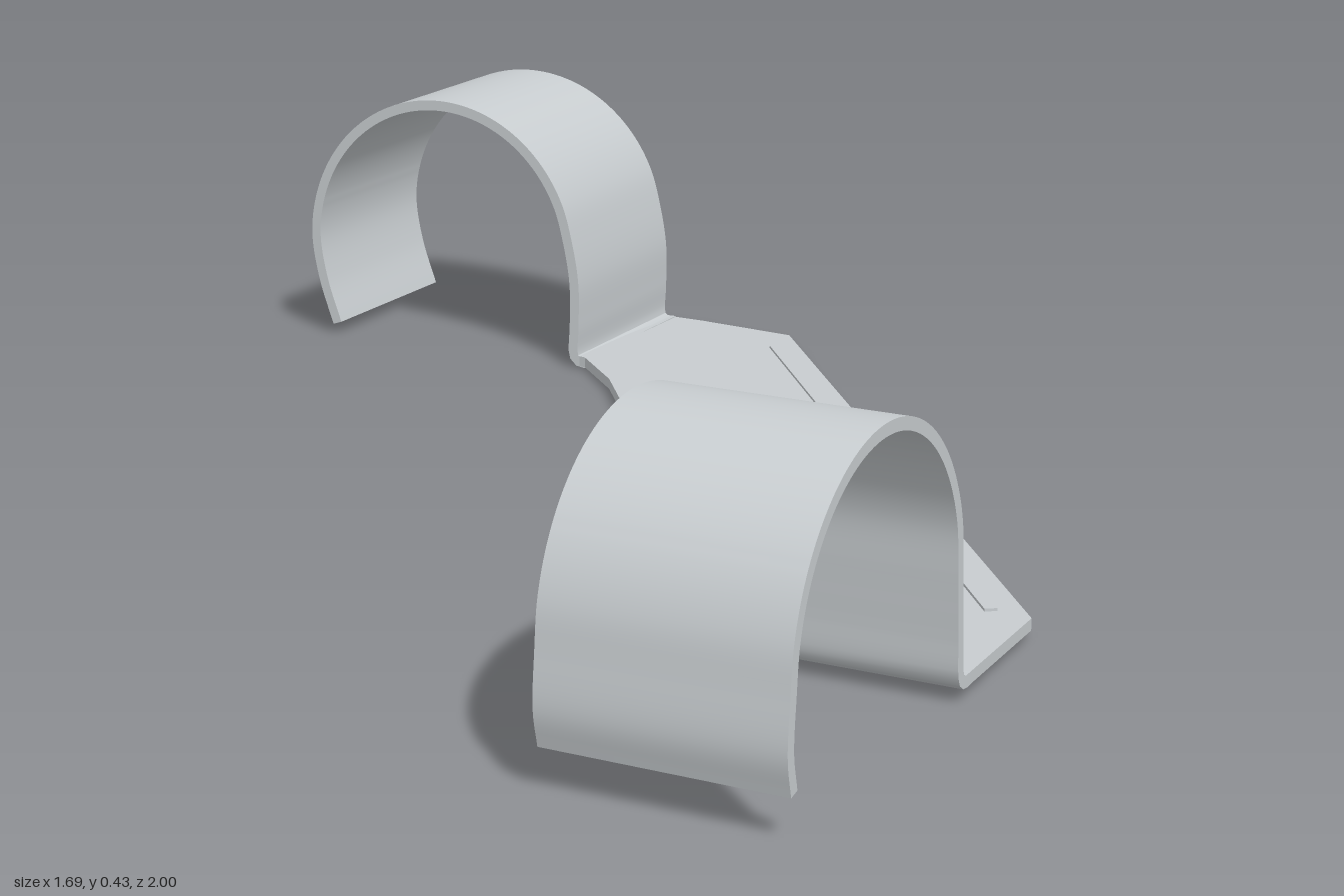
import * as THREE from 'three';
import { toCreasedNormals } from 'three/addons/utils/BufferGeometryUtils.js';

const THICK = 0.017;
const tilt = (z) => 0.004 + 0.0105 * (z + 1); // the plate rises slightly toward the front

// Bent strip: offsets a centre line to both sides and extrudes it across its width
function stripGeometry(points, width) {
  const curve = new THREE.CatmullRomCurve3(points.map(([x, y]) => new THREE.Vector3(x, y, 0)), false, 'centripetal');
  const outer = [], inner = [], n = 110;
  for (let i = 0; i <= n; i++) {
    const p = curve.getPointAt(i / n), t = curve.getTangentAt(i / n);
    const nx = -t.y * THICK / 2, ny = t.x * THICK / 2;
    outer.push(new THREE.Vector2(p.x + nx, p.y + ny));
    inner.unshift(new THREE.Vector2(p.x - nx, p.y - ny));
  }
  const shape = new THREE.Shape([...outer, ...inner]);
  const geo = new THREE.ExtrudeGeometry(shape, { depth: width, bevelEnabled: false });
  return toCreasedNormals(geo, 0.6);
}

// Centre line of a hook: foot, shank, round arc, open tail
function hookLine(foot, cx, cy, r, startDeg, tail) {
  const pts = [...foot];
  for (let a = startDeg; a <= 180; a += (180 - startDeg) / 12) {
    const t = THREE.MathUtils.degToRad(a);
    pts.push([cx - r * Math.cos(t), cy + r * Math.sin(t)]);
  }
  return [...pts, ...tail];
}

export function createModel() {
  const model = new THREE.Group();
  const metal = new THREE.MeshStandardMaterial({ color: 0xc8cdd0 });
  metal.name = 'light grey metal';
  const black = new THREE.MeshStandardMaterial({ color: 0x0a0a0a });
  black.name = 'black';
  const add = (name, geo, mat) => {
    const mesh = new THREE.Mesh(geo, mat);
    mesh.name = name;
    model.add(mesh);
    return mesh;
  };

  // Diagonal plate, outline given as x, z
  const outline = [[-0.322, -1], [-0.25, -0.998], [-0.075, -0.98], [0.832, 0.22], [0.84, 0.466], [0.515, 0.466],
    [0.51, 0.43], [-0.21, -0.57], [-0.31, -0.672], [-0.322, -0.675]];
  const plate = new THREE.ExtrudeGeometry(new THREE.Shape(outline.map(([x, z]) => new THREE.Vector2(x, -z))),
    { depth: THICK, bevelEnabled: false });
  plate.rotateX(-Math.PI / 2);
  const pos = plate.attributes.position;
  for (let i = 0; i < pos.count; i++) pos.setY(i, pos.getY(i) + tilt(pos.getZ(i)));
  plate.computeVertexNormals();
  add('plate', plate, metal);

  // Back hook, curling toward -x
  const backLine = hookLine(
    [[-0.03, 0.014], [-0.012, 0.014], [-0.002, 0.022], [-0.002, 0.08], [-0.001, 0.15]],
    0.258, 0.177, 0.25, 10, [[0.495, 0.1], [0.468, 0.022]]);
  const back = stripGeometry(backLine, 0.325);
  back.rotateY(Math.PI);
  back.translate(-0.334, 0, -0.675);
  add('backHook', back, metal);

  // Front hook, curling toward +z
  const frontLine = hookLine(
    [[-0.03, 0.028], [-0.012, 0.028], [-0.001, 0.036], [0.006, 0.1], [0.012, 0.17]],
    0.257, 0.182, 0.245, 15, [[0.506, 0.11], [0.495, 0.062]]);
  const front = stripGeometry(frontLine, 0.325);
  front.rotateY(-Math.PI / 2);
  front.translate(0.84, 0, 0.482);
  add('frontHook', front, metal);

  // Shallow stiffening ribs along both long edges
  const ribs = [[-0.06, -0.89, 0.775, 0.22], [-0.12, -0.58, 0.475, 0.285]];
  ribs.forEach(([x1, z1, x2, z2], i) => {
    const a = new THREE.Vector3(x1, tilt(z1) + THICK, z1);
    const b = new THREE.Vector3(x2, tilt(z2) + THICK, z2);
    const rib = add(i ? 'innerRib' : 'outerRib', new THREE.BoxGeometry(0.018, 0.008, a.distanceTo(b)), metal);
    rib.position.copy(a).lerp(b, 0.5);
    rib.lookAt(b);
  });

  // Black stud with a thin flange
  const y0 = tilt(-0.26) + THICK;
  const profile = [[0, -0.004], [0.059, -0.004], [0.059, 0.005], [0.032, 0.011], [0.031, 0.054], [0.028, 0.057], [0, 0.057]];
  const stud = new THREE.LatheGeometry(profile.map(([x, y]) => new THREE.Vector2(x, y)), 32);
  add('stud', toCreasedNormals(stud, 0.4), black).position.set(0.24, y0, -0.26);

  return model;
}
